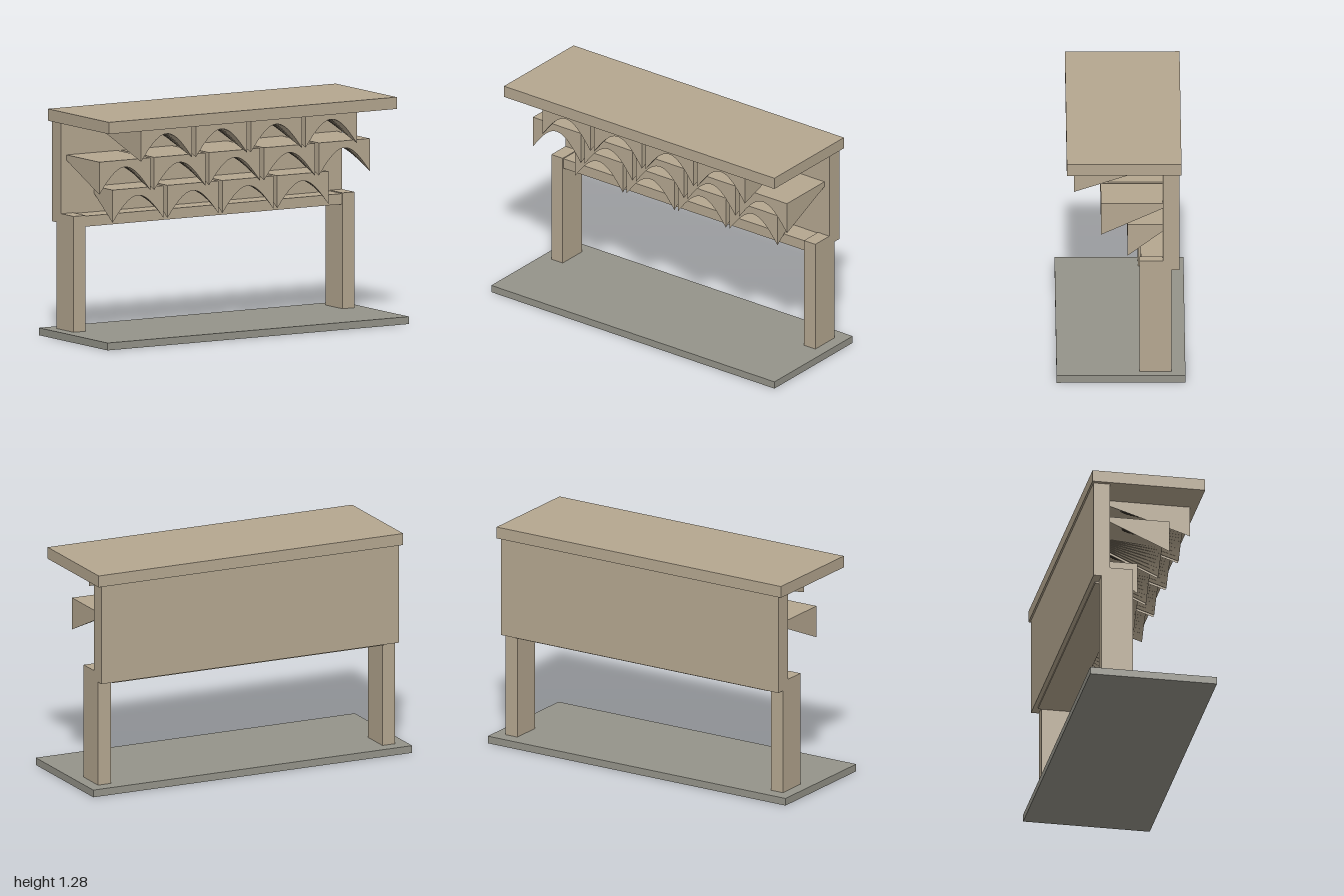
import * as THREE from 'three';
import { toCreasedNormals } from 'three/addons/utils/BufferGeometryUtils.js';

// One bracket cell: flat top, arched front, soffit flattening towards the wall
function archCell(width, top, foot, crown, backY, frontZ, backZ) {
  const n = 24, pos = [];
  const quad = (a, b, c, d) => pos.push(...a, ...b, ...c, ...a, ...c, ...d);
  const section = (i) => {
    const t = i / n, x = (t - 0.5) * width;
    const y = foot + (crown - foot) * Math.sin(Math.PI * t);
    return { fb: [x, y, frontZ], ft: [x, top, frontZ], bb: [x, backY, backZ], bt: [x, top, backZ] };
  };
  for (let i = 0; i < n; i++) {
    const l = section(i), r = section(i + 1);
    quad(l.fb, r.fb, r.ft, l.ft); // front
    quad(r.bb, l.bb, l.bt, r.bt); // back
    quad(l.ft, r.ft, r.bt, l.bt); // top
    quad(l.bb, r.bb, r.fb, l.fb); // soffit
  }
  const l = section(0), r = section(n);
  quad(l.bb, l.fb, l.ft, l.bt);
  quad(r.fb, r.bb, r.bt, r.ft);
  const geo = new THREE.BufferGeometry();
  geo.setAttribute('position', new THREE.Float32BufferAttribute(pos, 3));
  return toCreasedNormals(geo, 0.5);
}

export function createModel() {
  const group = new THREE.Group();
  const stone = new THREE.MeshStandardMaterial({ color: 0xb5a790 });
  stone.name = 'sandstone';
  const slab = new THREE.MeshStandardMaterial({ color: 0x95948a });
  slab.name = 'grey paving';

  const add = (name, geo, mat) => {
    const mesh = new THREE.Mesh(geo, mat);
    mesh.name = name;
    group.add(mesh);
    return mesh;
  };
  // Box given by its limits on each axis
  const box = (name, mat, x0, x1, y0, y1, z0, z1) =>
    add(name, new THREE.BoxGeometry(x1 - x0, y1 - y0, z1 - z0), mat)
      .position.set((x0 + x1) / 2, (y0 + y1) / 2, (z0 + z1) / 2);

  box('base', slab, -1, 1, 0, 0.042, -0.362, 0.362);
  box('roofSlab', stone, -0.955, 0.955, 1.216, 1.283, -0.34, 0.304);
  box('wall', stone, -0.932, 0.932, 0.645, 1.216, -0.33, -0.235);
  box('lintel', stone, -0.852, 0.852, 0.634, 0.694, -0.306, -0.112);
  box('leftPost', stone, 0.852, 0.932, 0.042, 0.699, -0.285, -0.105);
  box('rightPost', stone, -0.932, -0.852, 0.042, 0.699, -0.285, -0.105);

  // Three tiers of arched cells, each projecting further than the one below
  const tiers = [
    { name: 'lowerArch', count: 4, top: 0.84, foot: 0.655, crown: 0.798, back: 0.8, z: -0.038 },
    { name: 'middleArch', count: 5, top: 1.03, foot: 0.845, crown: 0.99, back: 1.0, z: 0.112 },
    { name: 'upperArch', count: 4, top: 1.216, foot: 1.036, crown: 1.183, back: 1.195, z: 0.263 },
  ];
  const spacing = 0.364, width = 0.339;
  for (const t of tiers) {
    const geo = archCell(width, t.top, t.foot, t.crown, t.back, t.z, -0.235);
    for (let i = 0; i < t.count; i++) {
      add(t.name + (i + 1), geo, stone).position.x = (i - (t.count - 1) / 2) * spacing;
    }
  }
  return group;
}
